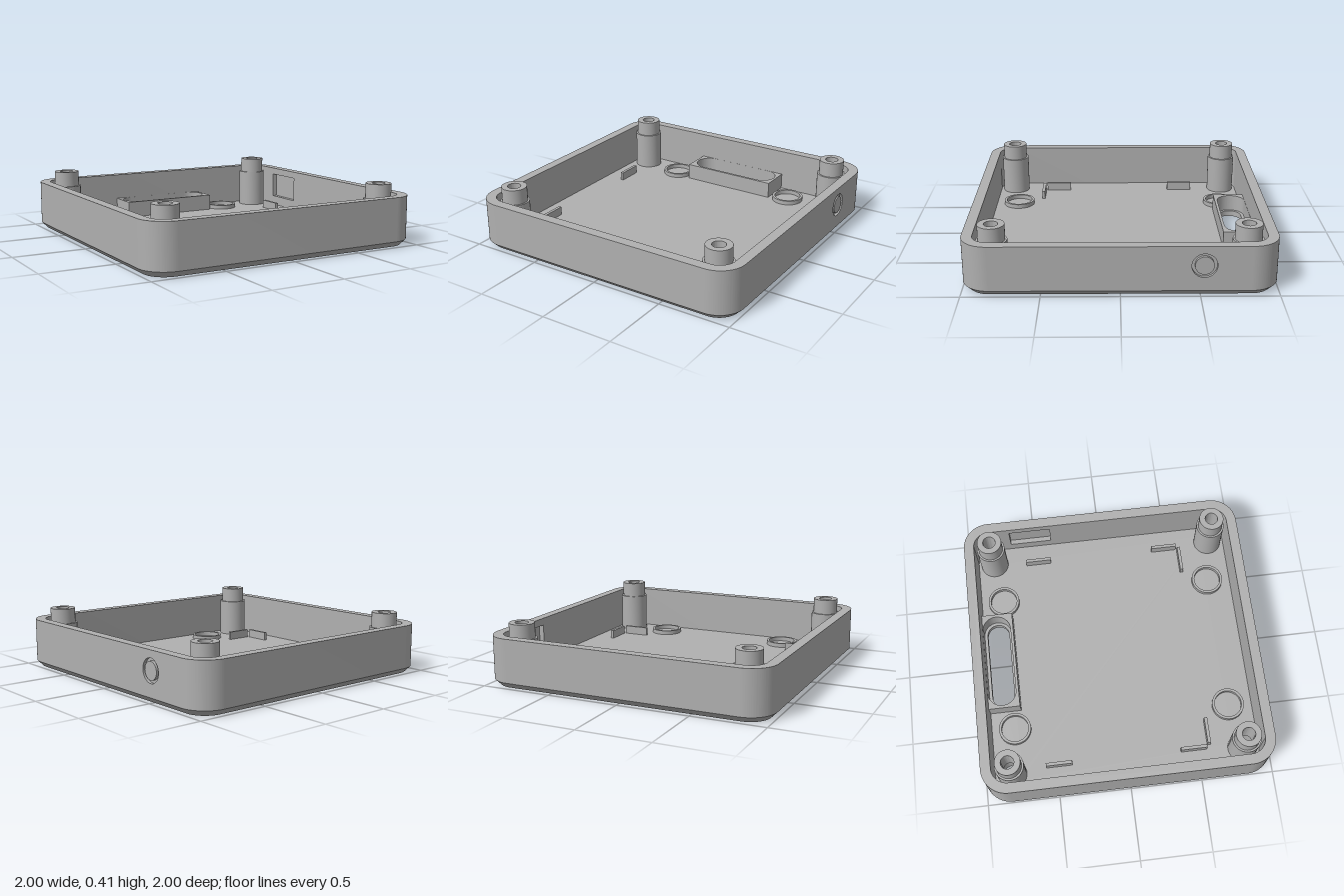
import * as THREE from 'three';
import { toCreasedNormals } from 'three/addons/utils/BufferGeometryUtils.js';

const FLOOR = 0.04, RIM = 0.34, OUT = 1, IN = 0.93, CORNER = 0.82, SEG = 24;

export function createModel() {
  const model = new THREE.Group();
  model.name = 'enclosureTray';
  const grey = new THREE.MeshStandardMaterial({ color: 0xb0b0b0 });
  grey.name = 'grey plastic';

  const add = (name, geometry, x = 0, y = 0, z = 0) => {
    const mesh = new THREE.Mesh(toCreasedNormals(geometry, 0.5), grey);
    mesh.name = name;
    mesh.position.set(x, y, z);
    model.add(mesh);
    return mesh;
  };

  // Shape drawn in x and z, raised from y0 to y1
  const slab = (shape, y0, y1) =>
    new THREE.ExtrudeGeometry(shape, { depth: y1 - y0, bevelEnabled: false, curveSegments: SEG })
      .rotateX(Math.PI / 2).translate(0, y1, 0);

  // Shape drawn in -z and y, raised from x0 to x1
  const sidePlate = (shape, x0, x1) =>
    new THREE.ExtrudeGeometry(shape, { depth: x1 - x0, bevelEnabled: false, curveSegments: SEG })
      .rotateY(Math.PI / 2).translate(x0, 0, 0);

  const lathe = (points) =>
    new THREE.LatheGeometry(points.map(([r, y]) => new THREE.Vector2(r, y)), 48);

  const roundedSquare = (half) => {
    const r = half - CORNER, shape = new THREE.Shape();
    [[1, 1], [-1, 1], [-1, -1], [1, -1]].forEach(([sx, sy], i) =>
      shape.absarc(sx * CORNER, sy * CORNER, r, i * Math.PI / 2, (i + 1) * Math.PI / 2));
    return shape;
  };
  const rect = (x0, y0, x1, y1, Type = THREE.Shape) =>
    new Type([[x0, y0], [x1, y0], [x1, y1], [x0, y1]].map((p) => new THREE.Vector2(...p)));
  const circle = (x, y, r) => new THREE.Path().absarc(x, y, r, 0, Math.PI * 2, true);
  const stadium = (halfLength, z, r) => new THREE.Path()
    .absarc(halfLength - r, z, r, -Math.PI / 2, Math.PI / 2)
    .absarc(-halfLength + r, z, r, Math.PI / 2, Math.PI * 1.5);

  // Floor with the slot and four screw holes
  const floor = roundedSquare(OUT - FLOOR);
  floor.holes.push(stadium(0.315, -0.828, 0.079));
  for (const x of [-0.81, 0.81]) for (const z of [-0.81, 0.81]) floor.holes.push(circle(x, z, 0.07));
  add('floor', slab(floor, 0, FLOOR));

  // Chamfer around the bottom edge
  const low = roundedSquare(OUT - FLOOR).getPoints(SEG), high = roundedSquare(OUT).getPoints(SEG);
  const positions = [], index = [], n = low.length;
  for (let i = 0; i < n; i++) {
    positions.push(low[i].x, 0, low[i].y, high[i].x, FLOOR, high[i].y);
    const a = 2 * i, b = 2 * ((i + 1) % n);
    index.push(a, a + 1, b, b, a + 1, b + 1);
  }
  const chamfer = new THREE.BufferGeometry();
  chamfer.setAttribute('position', new THREE.Float32BufferAttribute(positions, 3));
  chamfer.setIndex(index);
  add('bottomChamfer', chamfer);

  // Three walls and all the corners, open along the +x side
  const turn = [[1, 1], [-1, 1], [-1, -1], [1, -1]];
  const walls = new THREE.Shape();
  turn.forEach(([sx, sz], i) => walls.absarc(sx * CORNER, sz * CORNER, OUT - CORNER,
    i * Math.PI / 2, (i + 1) * Math.PI / 2));
  turn.map((t, i) => [t, i]).reverse().forEach(([[sx, sz], i]) =>
    walls.absarc(sx * CORNER, sz * CORNER, IN - CORNER, (i + 1) * Math.PI / 2, i * Math.PI / 2, true));
  add('walls', slab(walls, FLOOR, RIM));

  // +x wall in two layers: square pocket inside, round opening outside
  const portZ = -0.52, portY = 0.21, middle = 0.965;
  const innerLayer = rect(-CORNER, FLOOR, CORNER, RIM);
  innerLayer.holes.push(rect(-portZ - 0.15, 0.11, -portZ + 0.15, 0.29, THREE.Path));
  add('sideWallInner', sidePlate(innerLayer, IN, middle));
  const outerLayer = rect(-CORNER, FLOOR, CORNER, RIM);
  outerLayer.holes.push(circle(-portZ, portY, 0.08));
  add('sideWallOuter', sidePlate(outerLayer, middle, OUT));

  // Round button with a groove around it
  const button = lathe([[0, 0], [0.08, 0], [0.08, 0.015], [0.06, 0.015], [0.06, 0.035], [0, 0.035]]);
  add('sideButton', button.rotateZ(-Math.PI / 2), middle, portY, portZ);

  // Stepped, bored screw posts in the corners
  for (const x of [-0.81, 0.81]) for (const z of [-0.81, 0.81]) {
    add('screwPost', lathe([[0.1, FLOOR], [0.1, 0.31], [0.087, 0.31], [0.087, 0.415],
      [0.045, 0.415], [0.045, 0.2], [0.07, 0.2], [0.07, FLOOR]]), x, 0, z);
  }

  // Low locating rings
  for (const x of [-0.49, 0.49]) for (const z of [-0.765, 0.76]) {
    add('locatingRing', lathe([[0.113, FLOOR], [0.113, 0.07], [0.095, 0.07], [0.095, FLOOR]]), x, 0, z);
  }

  // Raised block around the slot
  const block = rect(-0.355, -IN, 0.355, -0.71);
  block.holes.push(stadium(0.336, -0.829, 0.1));
  add('slotBlock', slab(block, FLOOR, 0.155));

  // Small upright tabs
  for (const side of [-1, 1]) {
    for (const z of [-0.48, 0.47]) {
      add('sideTab', new THREE.BoxGeometry(0.022, 0.06, 0.184), side * 0.783, 0.07, z);
    }
    add('frontTab', new THREE.BoxGeometry(0.184, 0.06, 0.022), side * 0.672, 0.07, 0.581);
  }
  return model;
}
